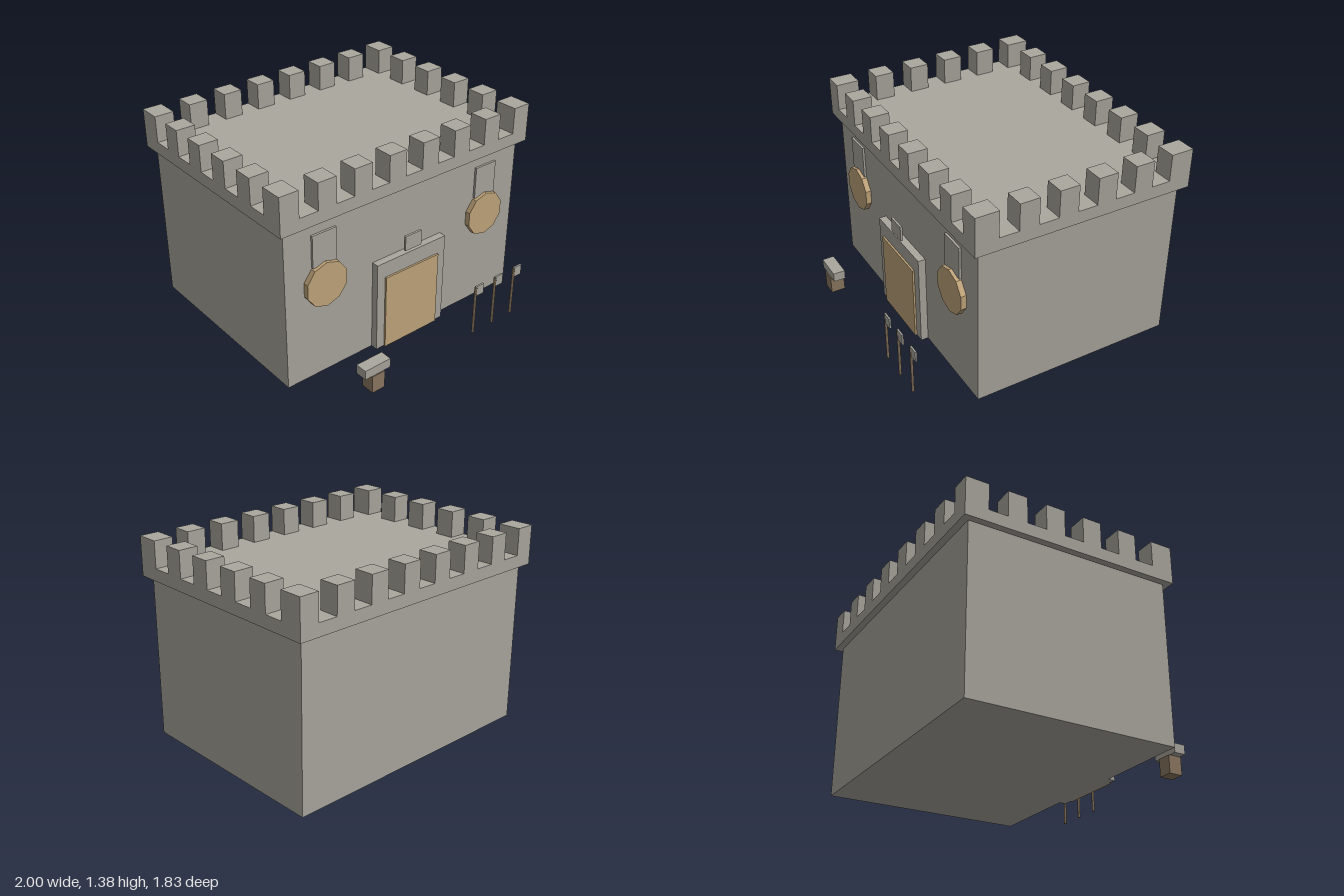
import * as THREE from 'three';

const mat = (name, color) => {
  const m = new THREE.MeshStandardMaterial({ color });
  m.name = name;
  return m;
};

export function createModel() {
  const stone = mat('stone', 0xaaa79f);
  const tan = mat('tan', 0xc2a67b);
  const wood = mat('wood', 0x8b7860);
  const model = new THREE.Group();
  model.name = 'castle';

  const add = (name, geometry, material, x, y, z, parent = model) => {
    const mesh = new THREE.Mesh(geometry, material);
    mesh.name = name;
    mesh.position.set(x, y, z);
    parent.add(mesh);
    return mesh;
  };
  // Box given by its extents on each axis
  const box = (name, material, [x0, x1], [y0, y1], [z0, z1], parent) =>
    add(name, new THREE.BoxGeometry(x1 - x0, y1 - y0, z1 - z0), material,
      (x0 + x1) / 2, (y0 + y1) / 2, (z0 + z1) / 2, parent);

  // Main block and overhanging roof slab
  const front = 0.597, back = -0.913;
  box('walls', stone, [-0.955, 0.955], [0, 1.115], [-0.867, 0.55]);
  box('roofSlab', stone, [-1, 1], [1.115, 1.2], [back, front]);

  // Battlements: corners, front and back rows, side rows
  const battlements = new THREE.Group();
  battlements.name = 'battlements';
  model.add(battlements);
  const w = 0.133, pitch = (2 - w) / 7, rise = [1.2, 1.38];
  for (let i = 0; i < 8; i++) {
    const corner = i === 0 || i === 7;
    const x = -1 + i * pitch;
    const depth = corner ? 0.157 : w;
    box('merlon', stone, [x, x + w], rise, [front - depth, front], battlements);
    box('merlon', stone, [x, x + w], rise, [back, back + depth], battlements);
  }
  for (const x of [-1, 1 - w]) {
    for (let i = 0; i < 4; i++) {
      const z = 0.242 - i * 0.267;
      box('merlon', stone, [x, x + w], rise, [z - w / 2, z + w / 2], battlements);
    }
  }

  // Doorway
  box('doorFrame', stone, [-0.287, 0.287], [0, 0.645], [0.55, 0.6]);
  box('door', tan, [-0.224, 0.222], [0, 0.535], [0.6, 0.613]);
  box('doorPlaque', stone, [-0.068, 0.066], [0.672, 0.778], [0.596, 0.611]);

  // Ten-sided shields with hanging panels above
  for (const s of [-1, 1]) {
    add('shield', new THREE.CylinderGeometry(0.155, 0.155, 0.037, 10).toNonIndexed()
      .rotateX(Math.PI / 2), tan, s * 0.668, 0.668, 0.5685).geometry.computeVertexNormals();
    const x = s * 0.669;
    box('shieldPanel', stone, [x - 0.089, x + 0.089], [0.802, 1.025], [0.55, 0.565]);
  }

  // Small pedestal in front of the wall
  box('pedestalPost', wood, [-0.585, -0.487], [0, 0.125], [0.815, 0.913]);
  box('pedestalTop', stone, [-0.637, -0.438], [0.125, 0.19], [0.823, 0.906]);

  // Row of flag poles
  for (const x of [0.33, 0.509, 0.688]) {
    add('flagPole', new THREE.CylinderGeometry(0.01, 0.01, 0.36, 6), wood, x, 0.18, 0.864);
    box('flag', stone, [x - 0.004, x + 0.067], [0.292, 0.367], [0.858, 0.87]);
  }
  return model;
}
